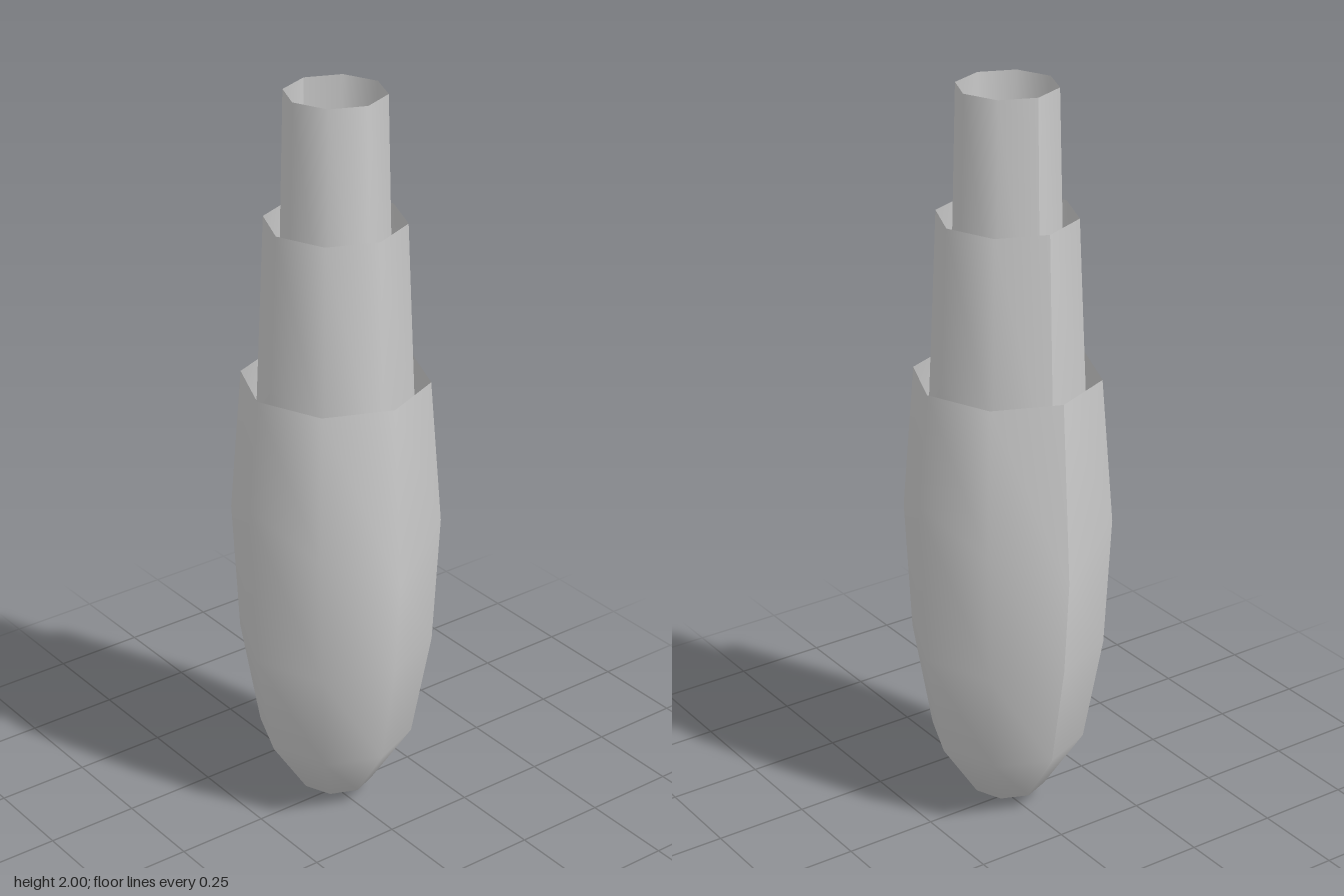
import * as THREE from 'three';

// Outer cup profile: radius, height
const profile = [[0, 0.005], [0.1, 0.05], [0.205, 0.21], [0.256, 0.5], [0.274, 0.855], [0.243, 1.245]];
const WIDEST = 4;

// Eight-sided open cup; the inner ones are narrower and stretched taller
function cup(name, width, height, material) {
  const points = profile.map(([r, y]) => new THREE.Vector2(r * width, y * height));
  const geometry = new THREE.LatheGeometry(points, 8, Math.PI);
  const pos = geometry.attributes.position;
  // The widest ring sits higher at the sides than at front and back
  for (let i = 0; i < pos.count; i++) {
    if (i % profile.length !== WIDEST) continue;
    const angle = Math.atan2(pos.getZ(i), pos.getX(i));
    pos.setY(i, pos.getY(i) + 0.095 * height * Math.cos(2 * angle));
  }
  geometry.computeVertexNormals();
  const mesh = new THREE.Mesh(geometry, material);
  mesh.name = name;
  return mesh;
}

export function createModel() {
  const group = new THREE.Group();
  group.name = 'nestedCups';
  const material = new THREE.MeshStandardMaterial({ color: 0xcccccc, side: THREE.DoubleSide });
  group.add(
    cup('outerCup', 1, 1, material),
    cup('middleCup', 0.743, 1.67 / 1.245, material),
    cup('innerCup', 0.53, 2 / 1.245, material),
  );
  return group;
}
